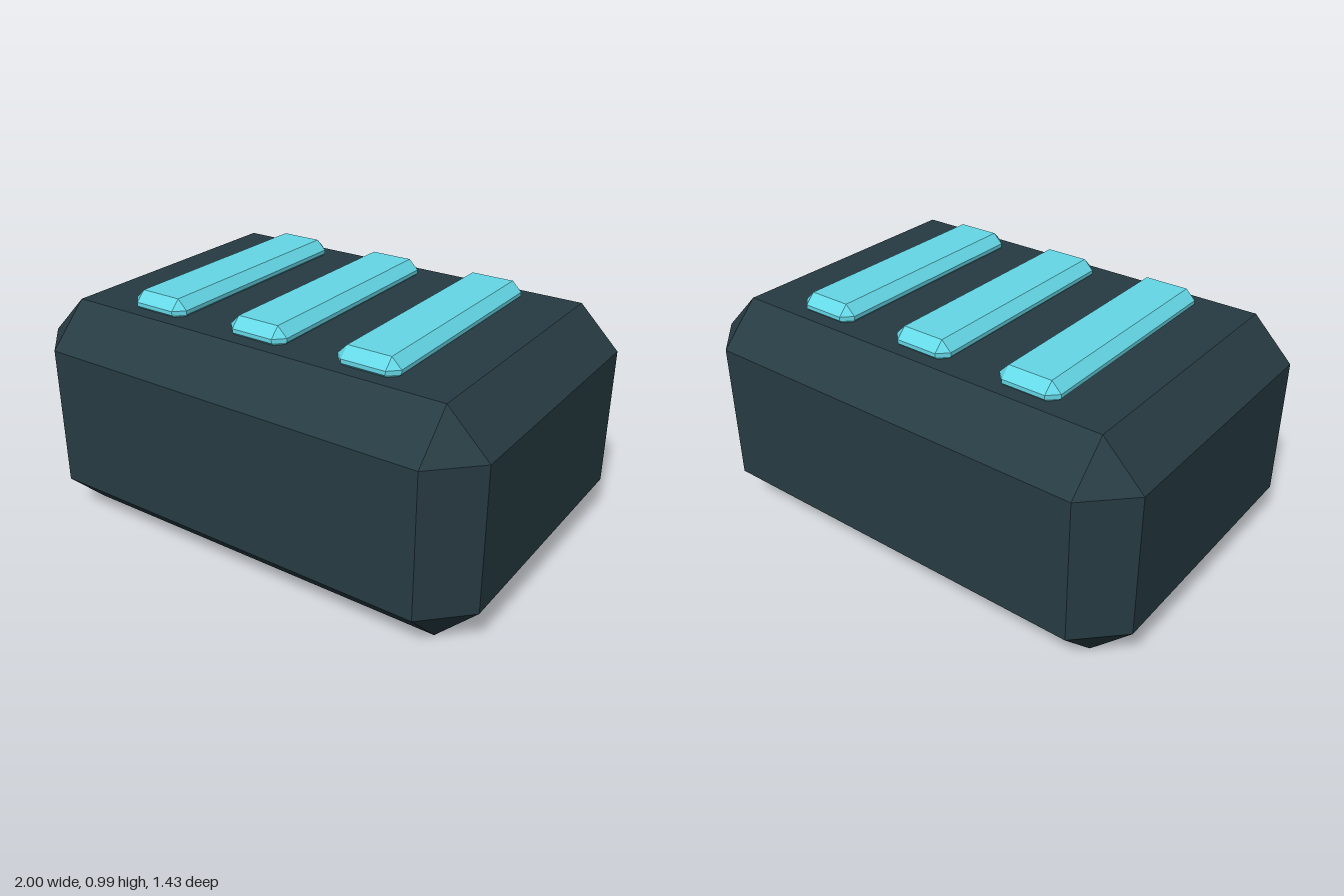
import * as THREE from 'three';
import { ConvexGeometry } from 'three/addons/geometries/ConvexGeometry.js';

// Box with every edge cut at 45 degrees and triangular corner facets
function chamferedBox(width, height, depth, cut) {
  const points = [];
  const [x, y, z] = [width / 2, height / 2, depth / 2];
  for (const sx of [-1, 1]) for (const sy of [-1, 1]) for (const sz of [-1, 1]) {
    points.push(
      new THREE.Vector3(sx * x, sy * (y - cut), sz * (z - cut)),
      new THREE.Vector3(sx * (x - cut), sy * y, sz * (z - cut)),
      new THREE.Vector3(sx * (x - cut), sy * (y - cut), sz * z)
    );
  }
  return new ConvexGeometry(points);
}

export function createModel() {
  const model = new THREE.Group();
  model.name = 'chamferedBlock';

  const dark = new THREE.MeshStandardMaterial({ color: 0x273b42, flatShading: true });
  dark.name = 'darkSlate';
  const cyan = new THREE.MeshStandardMaterial({ color: 0x66d9e8, flatShading: true });
  cyan.name = 'brightCyan';

  // Main block
  const body = new THREE.Mesh(chamferedBox(2, 0.92, 1.435, 0.168), dark);
  body.name = 'body';
  body.position.y = 0.46;
  model.add(body);

  // Three bars, partly sunk into the top
  const barGeometry = chamferedBox(0.26, 0.096, 1, 0.04);
  ['rightBar', 'middleBar', 'leftBar'].forEach((name, i) => {
    const bar = new THREE.Mesh(barGeometry, cyan);
    bar.name = name;
    bar.position.set((i - 1) * 0.48, 0.938, 0);
    model.add(bar);
  });

  return model;
}
